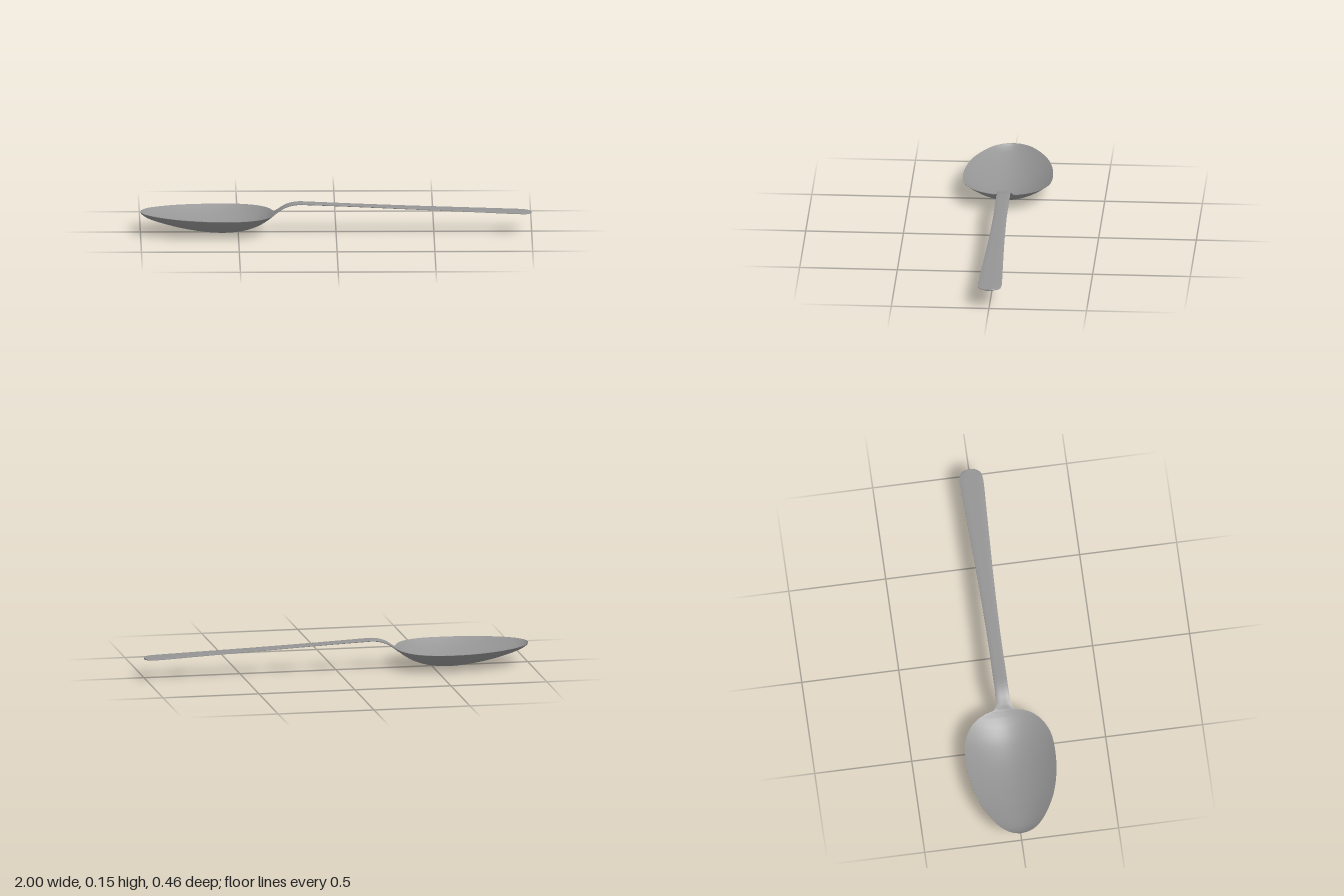
import * as THREE from 'three';

// Stations along the spoon: [x, half width, rim height, dish depth, thickness]
const stations = [
  [-1, 0, 0.109, 0, 0.006],
  [-0.995, 0.035, 0.109, 0.007, 0.006],
  [-0.98, 0.069, 0.1085, 0.018, 0.006],
  [-0.95, 0.105, 0.108, 0.033, 0.006],
  [-0.89, 0.149, 0.106, 0.05, 0.006],
  [-0.8, 0.193, 0.104, 0.071, 0.006],
  [-0.69, 0.221, 0.102, 0.088, 0.006],
  [-0.58, 0.23, 0.101, 0.095, 0.006],
  [-0.48, 0.222, 0.101, 0.086, 0.006],
  [-0.405, 0.189, 0.101, 0.063, 0.006],
  [-0.36, 0.147, 0.101, 0.038, 0.006],
  [-0.336, 0.105, 0.101, 0.02, 0.007],
  [-0.325, 0.073, 0.101, 0.011, 0.008],
  [-0.316, 0.05, 0.103, 0.006, 0.009],
  [-0.295, 0.039, 0.117, 0.001, 0.011],
  [-0.255, 0.036, 0.141, 0, 0.012],
  [-0.2, 0.035, 0.154, 0, 0.012],
  [-0.12, 0.035, 0.152, 0, 0.011],
  [0.1, 0.035, 0.142, 0, 0.01],
  [0.4, 0.042, 0.129, 0, 0.01],
  [0.7, 0.053, 0.1165, 0, 0.009],
  [0.88, 0.06, 0.109, 0, 0.009],
  [0.945, 0.06, 0.1065, 0, 0.009],
  [0.975, 0.052, 0.105, 0, 0.009],
  [0.993, 0.03, 0.1045, 0, 0.009],
  [1, 0, 0.104, 0, 0.009],
];
const neckStation = 13;
const STEPS = 6; // rows between stations
const COLS = 24; // divisions across the width

// Uniform splines treat each component independently, so both stay in step
const spline = (pick) => new THREE.CatmullRomCurve3(
  stations.map((s) => new THREE.Vector3(...pick(s))), false, 'catmullrom', 0.5);

export function createModel() {
  const outline = spline((s) => [s[0], s[1], s[2]]);
  const section = spline((s) => [s[3], s[4], 0]);
  const rows = (stations.length - 1) * STEPS;

  // Strips around the section as [s across, 0 top / 1 underside]; split at the rim for a crisp edge
  const across = Array.from({ length: COLS + 1 }, (_, i) => (i / COLS) * 2 - 1);
  const strips = [
    across.map((s) => [s, 0]),
    across.map((s) => [-s, 1]),
    [[1, 0], [1, 1]],
    [[-1, 1], [-1, 0]],
  ];

  const positions = [];
  const bowlIndex = [];
  const handleIndex = [];
  for (const strip of strips) {
    const base = positions.length / 3;
    const n = strip.length;
    for (let i = 0; i <= rows; i++) {
      const a = outline.getPoint(i / rows);
      const b = section.getPoint(i / rows);
      const depth = Math.max(0, b.x);
      for (const [s, under] of strip) {
        const dish = depth * (1 - Math.pow(Math.abs(s), 1.9));
        // Both skins draw together towards a thin edge
        const thin = 0.35 * b.y * s ** 4;
        const skin = under ? b.y - thin : thin;
        positions.push(a.x, a.z - dish - skin, s * Math.max(0, a.y));
      }
    }
    for (let i = 0; i < rows; i++) {
      const index = i < neckStation * STEPS ? bowlIndex : handleIndex;
      for (let j = 0; j < n - 1; j++) {
        const p = base + i * n + j;
        index.push(p, p + 1, p + n, p + 1, p + n + 1, p + n);
      }
    }
  }

  // Normals are found on the whole spoon so the bowl flows into the handle
  const whole = new THREE.BufferGeometry();
  whole.setAttribute('position', new THREE.Float32BufferAttribute(positions, 3));
  whole.setIndex([...bowlIndex, ...handleIndex]);
  whole.computeVertexNormals();

  const material = new THREE.MeshStandardMaterial({ color: 0x949494, side: THREE.DoubleSide });
  const group = new THREE.Group();
  group.name = 'spoon';
  for (const [name, index] of [['bowl', bowlIndex], ['handle', handleIndex]]) {
    const geometry = new THREE.BufferGeometry();
    geometry.setAttribute('position', whole.getAttribute('position').clone());
    geometry.setAttribute('normal', whole.getAttribute('normal').clone());
    geometry.setIndex(index);
    const mesh = new THREE.Mesh(geometry, material);
    mesh.name = name;
    group.add(mesh);
  }
  return group;
}
